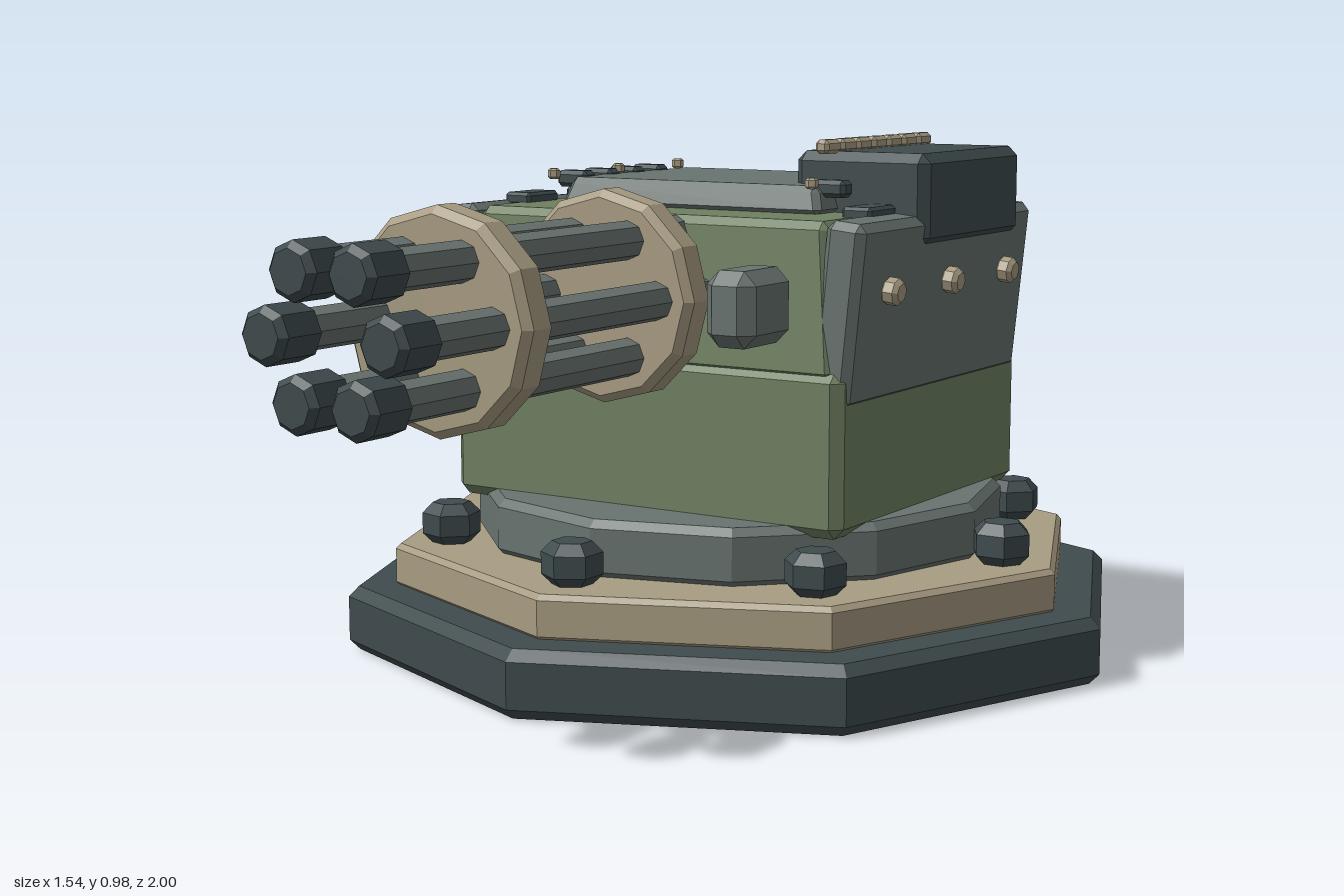
import * as THREE from 'three';
import { ConvexGeometry } from 'three/addons/geometries/ConvexGeometry.js';

const colour = (name, hex) => {
  const m = new THREE.MeshStandardMaterial({ color: hex });
  m.name = name;
  return m;
};

// Box with chamfered edges; tx and tz pull in each side of the top
function chamferBox(w, h, d, c, tx = 0, tz = 0) {
  const pts = [];
  for (const sx of [-1, 1]) for (const sy of [-1, 1]) for (const sz of [-1, 1]) {
    const x = w / 2 - (sy > 0 ? tx : 0), y = h / 2, z = d / 2 - (sy > 0 ? tz : 0);
    pts.push(
      new THREE.Vector3(sx * x, sy * (y - c), sz * (z - c)),
      new THREE.Vector3(sx * (x - c), sy * y, sz * (z - c)),
      new THREE.Vector3(sx * (x - c), sy * (y - c), sz * z));
  }
  return new ConvexGeometry(pts);
}

// Faceted upright prism from y = 0 to h with chamfered rims
function prism(r, h, sides, c) {
  const profile = [[0, 0], [r - c, 0], [r, c], [r, h - c], [r - c, h], [0, h]]
    .map(([x, y]) => new THREE.Vector2(x, y));
  const g = new THREE.LatheGeometry(profile, sides).toNonIndexed();
  g.computeVertexNormals();
  return g;
}

export function createModel() {
  const model = new THREE.Group();
  model.name = 'gunTurret';
  const dark = colour('darkSteel', 0x3f4b4d);
  const tan = colour('tan', 0xa89c82);
  const green = colour('olive', 0x6f8061);
  const gray = colour('gray', 0x68736f);
  const CZ = -0.23;

  const add = (name, geo, mat, x, y, z, parent = model) => {
    const m = new THREE.Mesh(geo, mat);
    m.name = name;
    m.position.set(x, y, z);
    parent.add(m);
    return m;
  };

  // Stepped base
  add('basePlate', prism(0.77, 0.125, 8, 0.02), dark, 0, 0, CZ);
  add('baseStep', prism(0.678, 0.085, 8, 0.01), tan, 0, 0.12, CZ);
  add('turntable', prism(0.515, 0.11, 12, 0.015), gray, 0, 0.2, CZ);
  const boltGeo = prism(0.056, 0.08, 6, 0.02);
  for (let i = 0; i < 8; i++) {
    const a = i * Math.PI / 4;
    const b = add('baseBolt', boltGeo, dark, 0.57 * Math.sin(a), 0.203, CZ + 0.57 * Math.cos(a));
    b.rotation.y = a;
  }

  // Housing
  add('lowerHousing', chamferBox(0.85, 0.3, 0.725, 0.02), green, 0, 0.44, CZ);
  add('upperHousing', chamferBox(0.81, 0.28, 0.71, 0.015, 0.025, 0.02), green, 0, 0.71, CZ);

  // Mirrored armour, front blocks and deck fittings
  const armourGeo = chamferBox(0.078, 0.33, 0.695, 0.015);
  const rivetGeo = prism(0.025, 0.035, 8, 0.008);
  const blockGeo = chamferBox(0.1, 0.135, 0.16, 0.025);
  const barGeo = chamferBox(0.06, 0.025, 0.1, 0.006);
  const clipGeo = chamferBox(0.07, 0.032, 0.04, 0.008);
  const screwGeo = prism(0.012, 0.02, 6, 0.004);
  for (const s of [-1, 1]) {
    const side = new THREE.Group();
    side.name = s > 0 ? 'leftArmour' : 'rightArmour';
    side.position.set(s * 0.405, 0.687, CZ);
    side.rotation.z = -s * 0.1;
    model.add(side);
    add('armourPlate', armourGeo, gray, 0, 0, 0, side);
    for (const z of [-0.235, 0, 0.235]) {
      const r = add('armourRivet', rivetGeo, tan, s * 0.034, 0.043, z, side);
      r.rotation.z = -s * Math.PI / 2;
    }
    add('frontBlock', blockGeo, gray, s * 0.27, 0.703, 0.185);
    for (const z of [-0.45, -0.265, -0.06]) add('deckBar', barGeo, dark, s * 0.375, 0.856, z);
    for (const z of [-0.345, -0.26, -0.17, -0.085]) add('hatchClip', clipGeo, dark, s * 0.285, 0.895, z);
    for (const z of [-0.45, -0.23, -0.01]) add('hatchScrew', screwGeo, tan, s * 0.285, 0.898, z);
  }
  add('hatch', chamferBox(0.57, 0.055, 0.435, 0.012, 0.01, 0.01), gray, 0, 0.873, -0.253);

  // Rear access panel
  const panel = new THREE.Group();
  panel.name = 'rearPanel';
  panel.position.set(0, 0.69, -0.576);
  panel.rotation.x = 0.08;
  model.add(panel);
  add('panelPlate', chamferBox(0.34, 0.15, 0.016, 0.004), gray, 0, 0, 0, panel);
  for (const x of [-0.145, 0.145]) {
    add('panelScrew', screwGeo, tan, x, -0.01, 0, panel).rotation.x = -Math.PI / 2;
  }

  // Ammunition box with a strip of links on top
  add('ammoBox', chamferBox(0.275, 0.17, 0.4, 0.018), dark, 0.328, 0.876, -0.307);
  const linkGeo = chamferBox(0.028, 0.026, 0.055, 0.007);
  for (let i = 0; i < 7; i++) add('ammoLink', linkGeo, tan, 0.265, 0.97, -0.105 - i * 0.061);

  // Rotary gun, built upright and laid towards +z
  const gun = new THREE.Group();
  gun.name = 'rotaryGun';
  gun.position.set(0, 0.71, 0);
  gun.rotation.x = Math.PI / 2;
  model.add(gun);
  const barrelGeo = prism(0.035, 0.84, 8, 0.005);
  const muzzleGeo = prism(0.049, 0.1, 8, 0.012);
  for (let i = 0; i < 6; i++) {
    const a = i * Math.PI / 3;
    const x = 0.12 * Math.cos(a), z = 0.12 * Math.sin(a);
    add('barrel', barrelGeo, gray, x, 0.08, z, gun);
    add('muzzle', muzzleGeo, dark, x, 0.9, z, gun);
  }
  const discGeo = prism(0.192, 0.075, 12, 0.014);
  for (const y of [0.175, 0.648]) add('barrelClamp', discGeo, tan, 0, y, 0, gun);

  return model;
}
